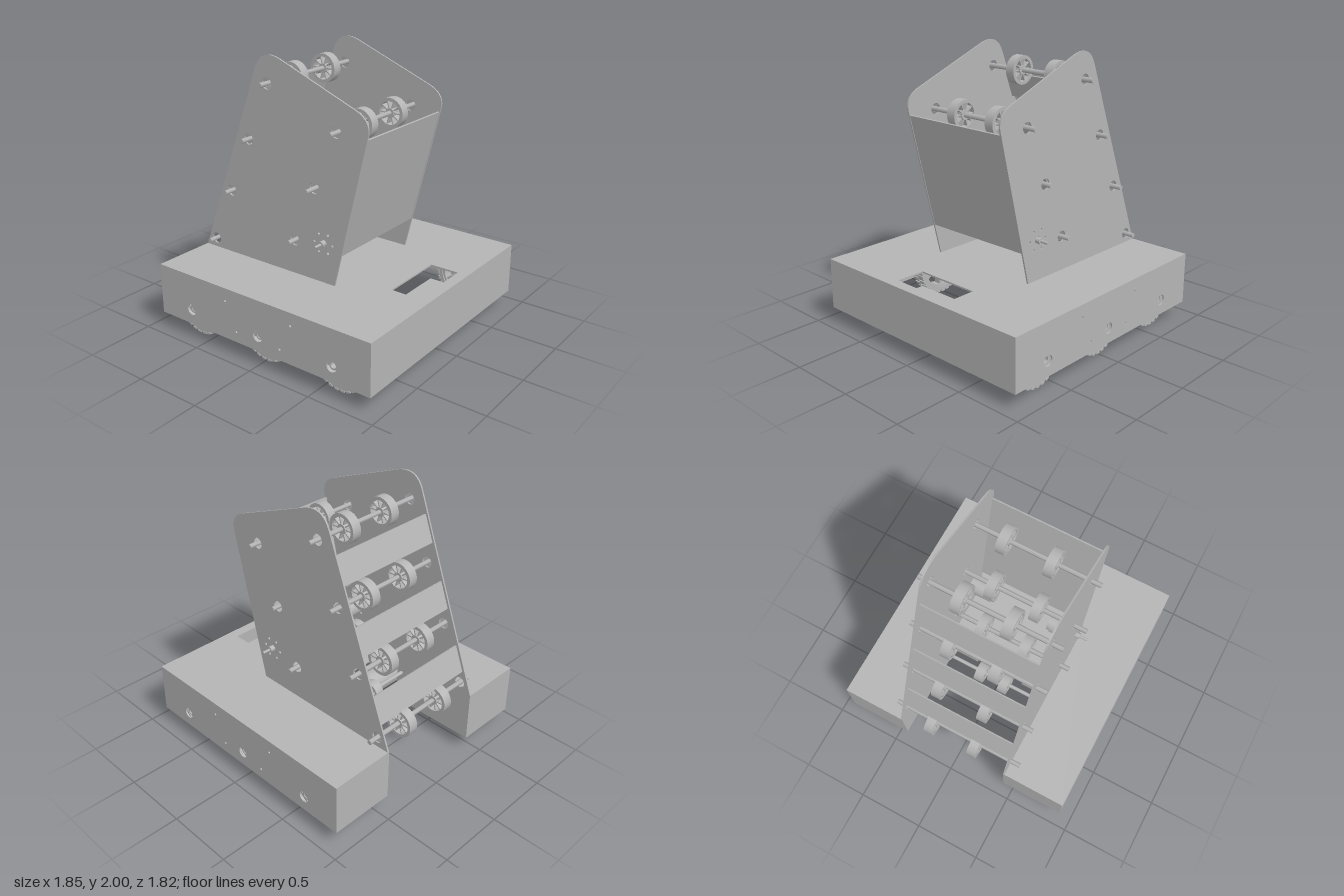
import * as THREE from 'three';
import { toCreasedNormals } from 'three/addons/utils/BufferGeometryUtils.js';

const grey = new THREE.MeshStandardMaterial({ color: 0xb4b4b4 });
grey.name = 'plain grey';

export function createModel() {
  const model = new THREE.Group();
  model.name = 'wheeledLauncher';
  const T = 0.012; // sheet thickness

  function add(parent, name, geometry, x = 0, y = 0, z = 0) {
    const mesh = new THREE.Mesh(geometry, grey);
    mesh.name = name;
    mesh.position.set(x, y, z);
    parent.add(mesh);
    return mesh;
  }
  const box = (w, h, d) => new THREE.BoxGeometry(w, h, d);
  // cylinder lying along z
  const rod = (r, len, sides = 24, r2 = r) =>
    new THREE.CylinderGeometry(r2, r, len, sides).rotateX(Math.PI / 2);
  // ring lying along z, with a rectangular section
  function ring(inner, outer, width, sides = 32) {
    const h = width / 2;
    const pts = [[inner, -h], [outer, -h], [outer, h], [inner, h], [inner, -h]];
    const g = new THREE.LatheGeometry(pts.map(p => new THREE.Vector2(...p)), sides);
    return toCreasedNormals(g.rotateX(Math.PI / 2), 0.6);
  }
  function drill(shape, x, y, r) {
    const hole = new THREE.Path();
    hole.absarc(x, y, r, 0, Math.PI * 2, true);
    shape.holes.push(hole);
  }
  const sheet = shape =>
    new THREE.ExtrudeGeometry(shape, { depth: T, bevelEnabled: false, curveSegments: 10 }).translate(0, 0, -T / 2);
  const outline = pts => new THREE.Shape(pts.map(p => new THREE.Vector2(...p)));

  // ---- Chassis: hollow tray, open below, notched at -x ----
  const chassis = new THREE.Group();
  chassis.name = 'chassis';
  model.add(chassis);
  const deck = outline([[-0.92, -0.91], [0.92, -0.91], [0.92, 0.91], [-0.92, 0.91],
    [-0.92, 0.43], [-0.12, 0.43], [-0.12, -0.43], [-0.92, -0.43]]);
  deck.holes.push(new THREE.Path([[0.62, -0.25], [0.62, 0.25], [0.84, 0.25], [0.84, -0.25]]
    .map(p => new THREE.Vector2(...p))));
  add(chassis, 'deck', sheet(deck).rotateX(-Math.PI / 2), 0, 0.49 - T / 2, 0);
  add(chassis, 'hatchTray', box(0.23, T, 0.52), 0.73, 0.37, 0);
  add(chassis, 'endWall', box(T, 0.375, 1.82), 0.914, 0.2975, 0);

  const wheelX = [-0.62, 0, 0.62];
  const sideWall = outline([[-0.92, 0.11], [0.92, 0.11], [0.92, 0.485], [-0.92, 0.485]]);
  wheelX.forEach(x => drill(sideWall, x, 0.22, 0.04));
  for (const s of [-1, 1]) {
    drill(sideWall, s * 0.287, 0.395, 0.009);
    drill(sideWall, s * 0.192, 0.19, 0.009);
  }
  for (const s of [-1, 1]) {
    add(chassis, 'sideWall', sheet(sideWall), 0, 0, s * 0.904);
    add(chassis, 'armEndWall', box(T, 0.375, 0.48), -0.914, 0.2975, s * 0.67);
    add(chassis, 'armInnerWall', box(0.68, 0.38, T), -0.58, 0.3, s * 0.431);
  }

  // ---- Drive wheels ----
  function driveWheel() {
    const w = new THREE.Group();
    w.name = 'driveWheel';
    add(w, 'tire', ring(0.178, 0.212, 0.1, 40));
    add(w, 'rim', ring(0.162, 0.179, 0.08, 40));
    add(w, 'hub', ring(0.02, 0.05, 0.09));
    for (let i = 0; i < 6; i++) {
      const a = i * Math.PI / 3 + Math.PI / 6;
      add(w, 'spoke', box(0.13, 0.03, 0.05), 0.105 * Math.cos(a), 0.105 * Math.sin(a)).rotation.z = a;
    }
    // two staggered rows of tread blocks
    for (let i = 0; i < 56; i++) {
      const a = i * Math.PI / 28, side = i % 2 ? 1 : -1;
      add(w, 'tread', box(0.014, 0.03, 0.052), 0.212 * Math.cos(a), 0.212 * Math.sin(a), side * 0.028).rotation.z = a;
    }
    return w;
  }
  for (const s of [-1, 1]) {
    for (const x of wheelX) {
      const w = driveWheel();
      w.position.set(x, 0.22, s * 0.775);
      model.add(w);
      add(model, 'axleCollar', ring(0.022, 0.034, 0.06), x, 0.22, s * 0.86);
      if (x < 0.5) add(model, 'wheelAxle', rod(0.021, 0.19), x, 0.22, s * 0.79);
    }
    // drive motor and its offset gearbox
    add(model, 'driveMotor', rod(0.095, 0.42, 32), -0.105, 0.27, s * 0.41);
    add(model, 'motorCap', rod(0.04, 0.03), -0.105, 0.27, s * 0.19);
    add(model, 'gearbox', box(0.26, 0.2, 0.07), -0.06, 0.25, s * 0.655);
  }

  // ---- Tower side plates ----
  const shafts = [[-0.28, 1.805], [0.3, 1.57], [-0.46, 1.39], [0.117, 1.155],
    [-0.64, 0.975], [-0.06, 0.74], [-0.82, 0.56]];
  const motor = [0.19, 0.78];
  const plate = new THREE.Shape();
  plate.moveTo(-0.918, 0.49);
  plate.lineTo(0.282, 0.49);
  plate.lineTo(0.545, 1.58);
  plate.quadraticCurveTo(0.572, 1.69, 0.44, 1.742);
  plate.lineTo(-0.17, 1.985);
  plate.quadraticCurveTo(-0.325, 2.04, -0.38, 1.9);
  plate.closePath();
  shafts.forEach(([x, y]) => drill(plate, x, y, 0.04));
  drill(plate, ...motor, 0.025);
  for (let i = 0; i < 6; i++) {
    const a = i * Math.PI / 3;
    drill(plate, motor[0] + 0.075 * Math.cos(a), motor[1] + 0.075 * Math.sin(a), 0.01);
  }
  for (const s of [-1, 1]) add(model, 'towerPlate', sheet(plate), 0, 0, s * 0.431);

  // ---- Sloped panel and slats between the plates ----
  function slopedPanel(name, x1, y1, x2, y2) {
    const m = add(model, name, box(T, Math.hypot(x2 - x1, y2 - y1), 0.85), (x1 + x2) / 2, (y1 + y2) / 2, 0);
    m.rotation.z = -Math.atan2(x2 - x1, y2 - y1);
  }
  slopedPanel('slopedPanel', 0.328, 0.72, 0.53, 1.56);
  for (const y of [0.75, 1.197, 1.645]) {
    const x = -0.455 + (y - 1.645) * 0.378;
    slopedPanel('slat', x - 0.036, y - 0.095, x + 0.036, y + 0.095);
  }

  // ---- Rollers ----
  function roller(r, width) {
    const g = new THREE.Group();
    g.name = 'rollerWheel';
    add(g, 'rollerRim', ring(r * 0.78, r, width));
    add(g, 'rollerHub', ring(0.015, r * 0.32, width));
    for (let i = 0; i < 10; i++) {
      const a = i * Math.PI / 5;
      add(g, 'rollerSpoke', box(r * 0.5, 0.008, width * 0.8), r * 0.55 * Math.cos(a), r * 0.55 * Math.sin(a)).rotation.z = a;
    }
    return g;
  }
  shafts.forEach(([x, y], i) => {
    const shift = i === 3 ? 0.02 : 0;
    add(model, 'rollerShaft', rod(0.018, 1.02, 6), x, y, shift);
    for (const z of [0.16, -0.195]) {
      const w = roller(0.106, 0.07);
      w.position.set(x, y, z);
      model.add(w);
    }
  });

  // ---- Small guide wheels low in the notch ----
  add(model, 'guideAxle', rod(0.014, 0.86), -0.28, 0.37, 0);
  for (const s of [-1, 1]) {
    const w = roller(0.08, 0.07);
    w.position.set(-0.28, 0.37, s * 0.1);
    model.add(w);
  }

  // ---- Feed motors in the tower ----
  for (const s of [-1, 1]) {
    add(model, 'feedMotor', rod(0.07, 0.18, 32), ...motor, s * 0.335);
    add(model, 'feedMotorCap', rod(0.062, 0.025, 32), ...motor, s * 0.233);
    add(model, 'feedMotorBoss', rod(0.022, 0.05), ...motor, s * 0.445);
    add(model, 'feedMotorShaft', rod(0.01, 0.09, 12), ...motor, s * 0.485);
  }
  return model;
}
